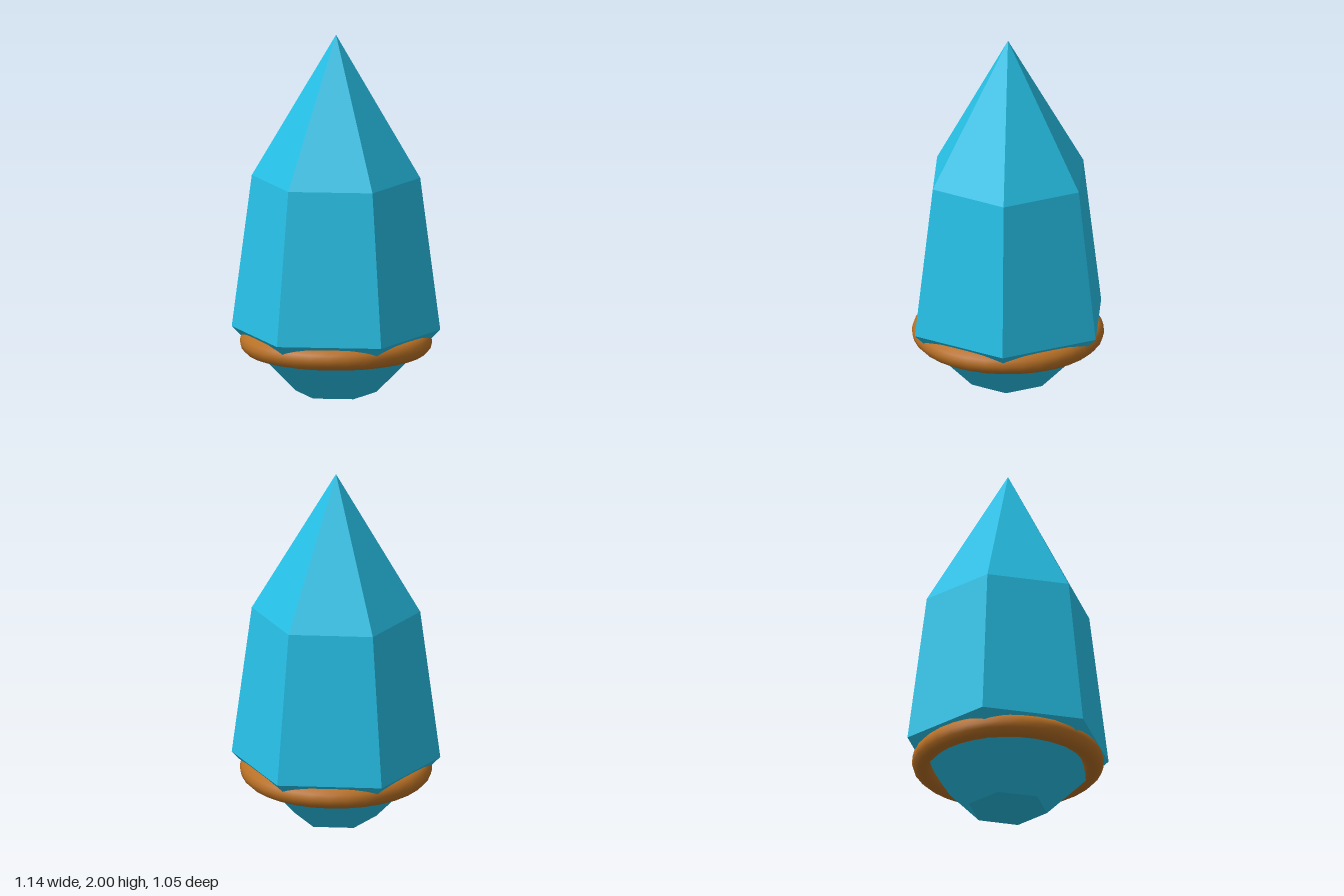
import * as THREE from 'three';

export function createModel() {
  const group = new THREE.Group();

  const crystalBlue = new THREE.MeshStandardMaterial({ color: 0x26c0e6, flatShading: true });
  crystalBlue.name = 'crystalBlue';
  const copper = new THREE.MeshStandardMaterial({ color: 0xb87025 });
  copper.name = 'copper';

  // Six-sided crystal: closed base, flared foot, tapering body, pointed tip
  const profile = [[0, 0], [0.222, 0], [0.572, 0.355], [0.462, 1.205], [0, 2]]
    .map(([r, y]) => new THREE.Vector2(r, y));
  const crystal = new THREE.Mesh(new THREE.LatheGeometry(profile, 6, Math.PI / 2), crystalBlue);
  crystal.name = 'crystal';
  group.add(crystal);

  // Metal ring around the foot
  const ring = new THREE.Mesh(new THREE.TorusGeometry(0.466, 0.061, 12, 32), copper);
  ring.name = 'ring';
  ring.rotation.x = Math.PI / 2;
  ring.position.y = 0.282;
  group.add(ring);

  return group;
}
